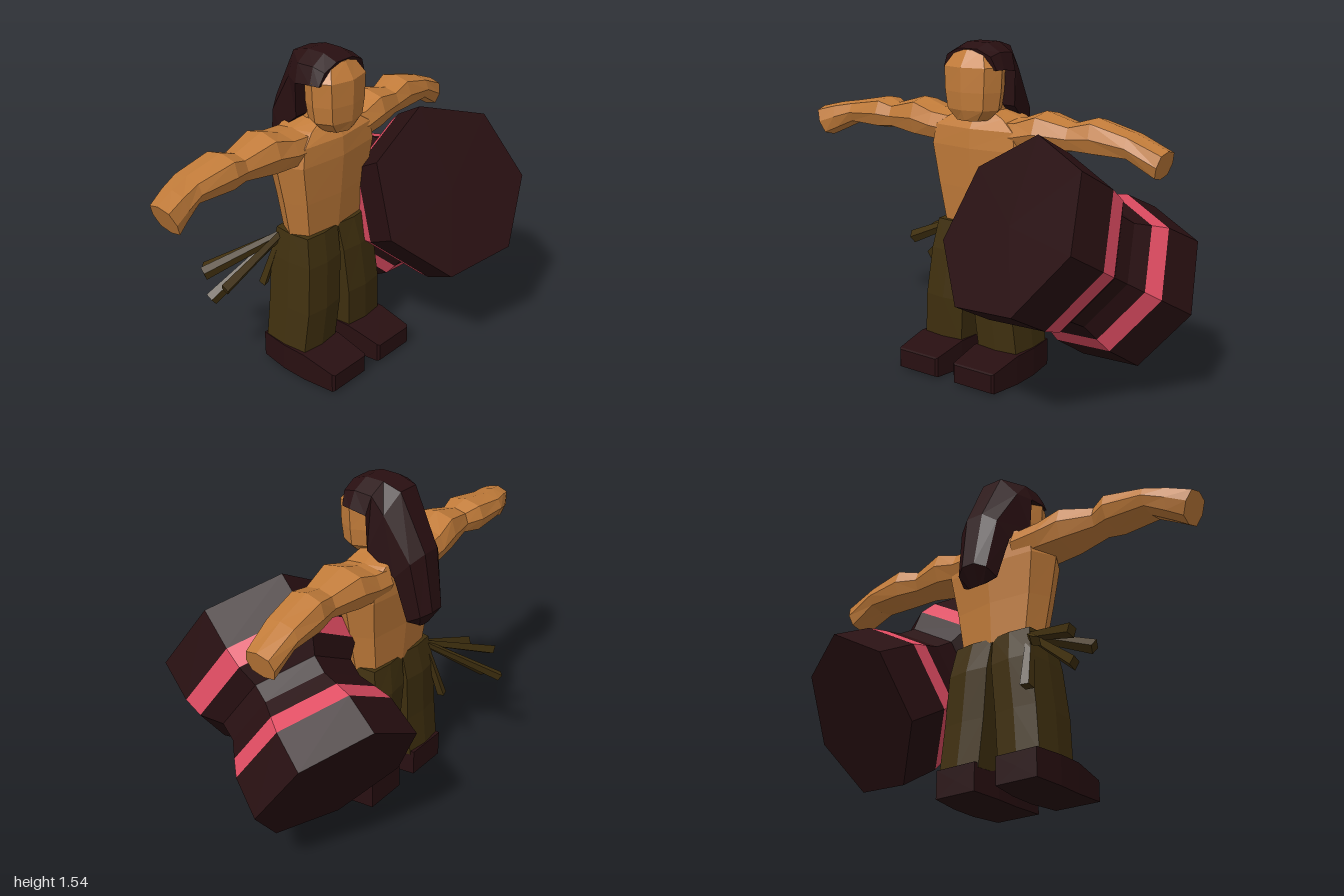
import * as THREE from 'three';

const mat = (name, color) => {
  const m = new THREE.MeshStandardMaterial({ color });
  m.name = name;
  return m;
};

// Facets a geometry so every face has its own normal
const facet = (g) => {
  const f = g.index ? g.toNonIndexed() : g;
  f.computeVertexNormals();
  return f;
};

// Joins equal-sized rings of [x, y, z] points into a closed faceted solid
function loft(rings) {
  const n = rings[0].length, pos = [], tris = [];
  const mid = (r) => [0, 1, 2].map((i) => r.reduce((s, p) => s + p[i], 0) / n);
  for (let r = 0; r < rings.length - 1; r++) {
    for (let i = 0; i < n; i++) {
      const j = (i + 1) % n, a = rings[r], b = rings[r + 1];
      tris.push([a[i], a[j], b[j]], [a[i], b[j], b[i]]);
    }
  }
  const first = rings[0], last = rings[rings.length - 1], c0 = mid(first), c1 = mid(last);
  for (let i = 0; i < n; i++) {
    const j = (i + 1) % n;
    tris.push([c0, first[j], first[i]], [c1, last[i], last[j]]);
  }
  // The signed volume tells whether the faces point outward
  const v = (p) => new THREE.Vector3(...p);
  const o = v(c0);
  const vol = tris.reduce((s, t) => {
    const [a, b, c] = t.map((p) => v(p).sub(o));
    return s + a.dot(b.cross(c));
  }, 0);
  for (const t of tris) pos.push(...(vol < 0 ? [t[0], t[2], t[1]] : t).flat());
  const g = new THREE.BufferGeometry();
  g.setAttribute('position', new THREE.Float32BufferAttribute(pos, 3));
  g.computeVertexNormals();
  return g;
}

// Eight-sided outline filling a rectangle; k is the corner fullness
const outline = (k) => [[0, 1], [k, k], [1, 0], [k, -k], [0, -1], [-k, -k], [-1, 0], [-k, k]];
const mix = (a, b, t) => (a + b) / 2 + ((b - a) / 2) * t;

// Horizontal ring: height, x range, z range
const flatRing = (k) => ([y, x0, x1, z0, z1]) =>
  outline(k).map(([u, w]) => [mix(x0, x1, u), y, mix(z0, z1, w)]);

// Upright arm ring: x at bottom and top, y range, z range
const armRing = ([xb, xt, y0, y1, z0, z1]) =>
  outline(0.78).map(([u, w]) => [mix(xb, xt, w), mix(y0, y1, w), mix(z0, z1, u)]);

export function createModel() {
  const model = new THREE.Group();
  const skin = mat('skin', 0xc27c3a);
  const dark = mat('dark brown', 0x280f11);
  const olive = mat('olive cloth', 0x40300f);
  const pink = mat('pink band', 0xe04c62);
  const add = (name, geometry, material, parent = model) => {
    const m = new THREE.Mesh(geometry, material);
    m.name = name;
    parent.add(m);
    return m;
  };

  // Torso and neck
  add('torso', loft([
    [0.69, -0.225, 0.205, -0.21, -0.01],
    [0.88, -0.262, 0.24, -0.225, 0.01],
    [1.07, -0.3, 0.28, -0.25, 0.025],
    [1.16, -0.28, 0.26, -0.25, 0.02],
    [1.21, -0.19, 0.17, -0.24, -0.01],
    [1.24, -0.1, 0.08, -0.2, -0.03],
    [1.3, -0.09, 0.07, -0.18, -0.02],
  ].map(flatRing(0.8))), skin);

  // Head
  add('head', loft([
    [1.2, -0.09, 0.065, -0.1, 0.055],
    [1.25, -0.145, 0.12, -0.12, 0.075],
    [1.33, -0.158, 0.132, -0.13, 0.083],
    [1.44, -0.164, 0.138, -0.13, 0.083],
    [1.515, -0.11, 0.085, -0.12, 0.035],
  ].map(flatRing(0.74))), skin);

  // Hair sweeping back into a long tail: outer z, y, inner z, y, half width
  const hairShape = [[0, 0.35], [0.35, 0.82], [1, 1], [1, -1], [0.35, -0.82], [0, -0.35]];
  add('hair', loft([
    [0.03, 1.52, 0.015, 1.43, 0.148],
    [-0.04, 1.545, -0.03, 1.43, 0.156],
    [-0.13, 1.545, -0.115, 1.42, 0.156],
    [-0.22, 1.52, -0.12, 1.26, 0.15],
    [-0.345, 1.27, -0.245, 1.16, 0.125],
    [-0.385, 1.0, -0.295, 0.95, 0.095],
    [-0.33, 0.915, -0.315, 0.925, 0.05],
  ].map(([z0, y0, z1, y1, w]) => hairShape.map(([t, s]) =>
    [-0.012 + s * w, y0 + (y1 - y0) * t, z0 + (z1 - z0) * t]))), dark);

  // Arms held out to the sides
  add('rightArm', loft([
    [-0.14, -0.14, 1.06, 1.21, -0.25, -0.01],
    [-0.27, -0.27, 1.07, 1.225, -0.24, 0.0],
    [-0.38, -0.38, 1.075, 1.265, -0.225, 0.0],
    [-0.54, -0.54, 1.1, 1.22, -0.185, -0.03],
    [-0.62, -0.61, 1.09, 1.245, -0.22, -0.012],
    [-0.8, -0.8, 1.1, 1.21, -0.205, -0.025],
    [-0.88, -0.9, 1.06, 1.195, -0.17, -0.005],
    [-0.94, -1.0, 1.03, 1.17, -0.13, 0.015],
  ].map(armRing)), skin);
  add('leftArm', loft([
    [0.12, 0.12, 1.06, 1.21, -0.25, -0.01],
    [0.2, 0.2, 1.06, 1.215, -0.245, 0.0],
    [0.31, 0.31, 1.07, 1.255, -0.25, 0.0],
    [0.46, 0.46, 1.09, 1.215, -0.215, -0.04],
    [0.57, 0.56, 1.08, 1.245, -0.245, -0.05],
    [0.73, 0.73, 1.08, 1.195, -0.25, -0.07],
    [0.85, 0.885, 1.005, 1.13, -0.25, -0.1],
  ].map(armRing)), skin);

  // Trousers and boots, mirrored about the body line
  for (const [side, s] of [['right', -1], ['left', 1]]) {
    const leg = new THREE.Group();
    leg.name = side + 'Leg';
    leg.position.x = -0.012;
    model.add(leg);
    add('trouserLeg', loft([
      [0.12, 0.04, 0.28, -0.24, 0.03],
      [0.34, 0.02, 0.26, -0.235, 0.045],
      [0.57, 0.0, 0.235, -0.24, 0.03],
      [0.71, -0.01, 0.215, -0.215, 0.0],
    ].map(([y, a, b, c, d]) => flatRing(0.9)([y, s * a, s * b, c, d]))), olive, leg);
    // Boot rings from heel to toe: z, bottom, top, half width
    add('boot', loft([
      [-0.245, 0.012, 0.14, 0.105],
      [-0.1, 0.005, 0.14, 0.124],
      [0.03, 0.002, 0.14, 0.124],
      [0.2, 0.01, 0.105, 0.115],
      [0.21, 0.014, 0.1, 0.105],
    ].map(([z, y0, y1, w]) => [[-1, y0], [1, y0], [1, y1], [-1, y1]].map(([u, y]) =>
      [s * 0.162 + u * w, y, z]))), dark, leg);
  }

  // Loose sash ends fanning from the right hip
  const sash = new THREE.Group();
  sash.name = 'sash';
  model.add(sash);
  const knot = new THREE.Vector3(-0.21, 0.67, -0.19);
  for (const end of [[-0.44, 0.48, -0.47], [-0.54, 0.54, -0.36], [-0.53, 0.41, -0.33],
    [-0.55, 0.52, -0.21], [-0.25, 0.4, -0.27]]) {
    const dir = new THREE.Vector3(...end).sub(knot);
    const g = new THREE.CylinderGeometry(0.032, 0.02, dir.length(), 4);
    g.scale(1, 1, 0.7);
    const strip = add('sashStrip', facet(g), olive, sash);
    strip.position.copy(knot).addScaledVector(dir, 0.5);
    strip.quaternion.setFromUnitVectors(new THREE.Vector3(0, 1, 0), dir.normalize());
  }

  // Seven-sided waisted drum on a tilted axis
  const drum = new THREE.Group();
  drum.name = 'drum';
  const axis = new THREE.Vector3(-0.264, 0.482, 0.836).normalize();
  const up = new THREE.Vector3(0, 0.87, -0.496);
  up.addScaledVector(axis, -up.dot(axis)).normalize();
  const across = new THREE.Vector3().crossVectors(axis, up);
  drum.quaternion.setFromRotationMatrix(new THREE.Matrix4().makeBasis(across, axis, up));
  drum.position.set(0.422, 0.836, 0.316);
  model.add(drum);
  // Distance behind the front skin, and radius
  const profile = [[0, 0.412], [0.2, 0.408], [0.29, 0.385], [0.365, 0.315],
    [0.45, 0.312], [0.53, 0.345], [0.61, 0.376], [0.804, 0.389]];
  for (let i = 0; i < profile.length - 1; i++) {
    const [d0, r0] = profile[i], [d1, r1] = profile[i + 1];
    const band = i === 1 || i === 5;
    const open = i > 0 && i < profile.length - 2;
    const g = new THREE.CylinderGeometry(r0, r1, d1 - d0, 7, 1, open);
    add(band ? 'drumBand' : 'drumShell', facet(g), band ? pink : dark, drum)
      .position.y = -(d0 + d1) / 2;
  }
  return model;
}
